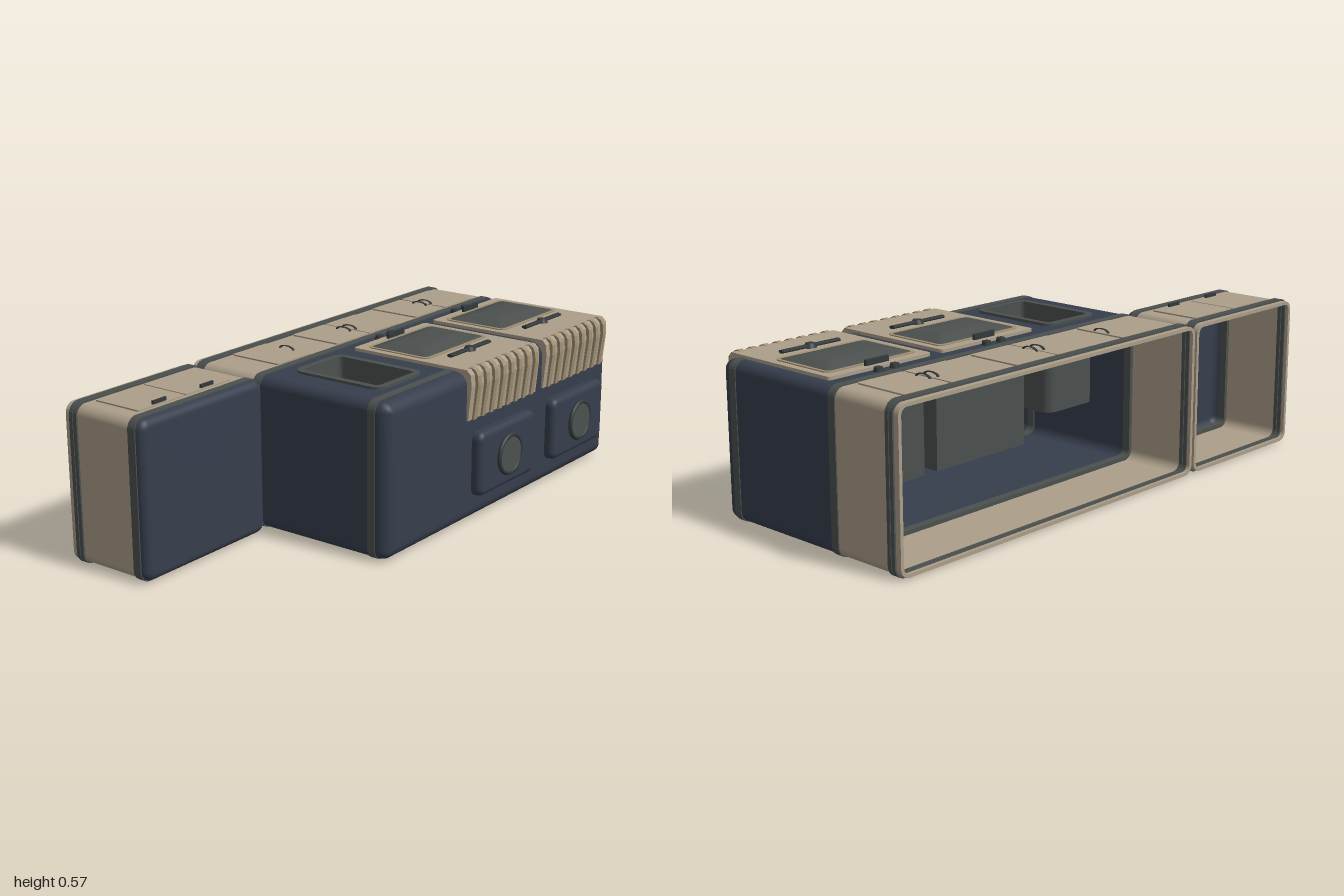
import * as THREE from 'three';

const mat = (name, color, side = THREE.FrontSide) => {
  const m = new THREE.MeshStandardMaterial({ color, side });
  m.name = name;
  return m;
};
const navy = mat('navy', 0x363d4c, THREE.DoubleSide);
const beige = mat('beige', 0xac9e89, THREE.DoubleSide);
const tan = mat('tan', 0x9f9073);
const grey = mat('trim grey', 0x4b504f);
const dark = mat('dark metal', 0x33393b);

const Y0 = 0.012, Y1 = 0.545, R = 0.035;

// Rounded rectangle, counter-clockwise, with optional extra points on the top edge
function section(x0, x1, y0, y1, r, extras = []) {
  const pts = [], n = 6;
  const corner = (cx, cy, a) => {
    for (let i = 0; i <= n; i++) {
      const t = a + (i / n) * Math.PI / 2;
      pts.push(new THREE.Vector2(cx + r * Math.cos(t), cy + r * Math.sin(t)));
    }
  };
  corner(x1 - r, y0 + r, -Math.PI / 2);
  corner(x1 - r, y1 - r, 0);
  extras.forEach(x => pts.push(new THREE.Vector2(x, y1)));
  corner(x0 + r, y1 - r, Math.PI / 2);
  corner(x0 + r, y0 + r, Math.PI);
  return pts;
}

// Skin through rings [z, inset]; hole = {x0, x1, z0, z1} is left open in the top
function loft([x0, x1, y0, y1], r, rings, cap = true, hole = null) {
  const pos = [], idx = [];
  const extras = hole ? [hole.x1, hole.x0] : [];
  let n = 0;
  rings.forEach(([z, d]) => {
    const pts = section(x0 + d, x1 - d, y0 + d, y1 - d, Math.max(r - d, 0.008), extras);
    n = pts.length;
    pts.forEach(p => pos.push(p.x, p.y, z));
  });
  for (let k = 0; k < rings.length - 1; k++) {
    for (let i = 0; i < n; i++) {
      if (hole && i === 14 && rings[k][0] === hole.z0) continue;
      const j = (i + 1) % n, a = k * n + i, b = k * n + j;
      idx.push(a, b, b + n, a, b + n, a + n);
    }
  }
  if (cap) {
    const c = pos.length / 3, s = (rings.length - 1) * n;
    pos.push((x0 + x1) / 2, (y0 + y1) / 2, rings[rings.length - 1][0]);
    for (let i = 0; i < n; i++) idx.push(c, s + i, s + (i + 1) % n);
  }
  const g = new THREE.BufferGeometry();
  g.setAttribute('position', new THREE.Float32BufferAttribute(pos, 3));
  g.setIndex(idx);
  g.computeVertexNormals();
  return g;
}

// Quarter-round ending at z
const roundEnd = (z, r) => Array.from({ length: 7 }, (_, i) => {
  const t = (i / 6) * Math.PI / 2;
  return [z - r + r * Math.sin(t), r * (1 - Math.cos(t))];
});

// Flat rounded plate or frame, extruded along z
function plate([x0, x1, y0, y1], r, depth, border = 0) {
  const s = new THREE.Shape(section(x0, x1, y0, y1, r));
  if (border) {
    s.holes.push(new THREE.Path(section(x0 + border, x1 - border, y0 + border, y1 - border,
      Math.max(r - border, 0.015))));
  }
  return new THREE.ExtrudeGeometry(s, { depth, bevelEnabled: false });
}

// Side profile in (z, y), extruded from x0 to x1
function profile(points, x0, x1) {
  const s = new THREE.Shape(points.map(p => new THREE.Vector2(...p)));
  return new THREE.ExtrudeGeometry(s, { depth: x1 - x0, bevelEnabled: false })
    .rotateY(-Math.PI / 2).translate(x1, 0, 0);
}

export function createModel() {
  const root = new THREE.Group();
  root.name = 'kitchenUnit';
  const add = (name, geo, m, x = 0, y = 0, z = 0) => {
    const mesh = new THREE.Mesh(geo, m);
    mesh.name = name;
    mesh.position.set(x, y, z);
    root.add(mesh);
    return mesh;
  };
  const box = (name, w, h, d, m, x, y, z) => add(name, new THREE.BoxGeometry(w, h, d), m, x, y, z);
  // Lays an xy plate flat, so that [x0, x1, z0, z1] is its outline seen from above
  const flat = ([x0, x1, z0, z1]) => [x0, x1, -z1, -z0];
  const lay = (name, geo, m, y) => add(name, geo.rotateX(-Math.PI / 2), m, 0, y, 0);
  const band = (name, x0, x1, z0, z1, out, border) =>
    add(name, plate([x0 - out, x1 + out, Y0 - out, Y1 + out], R + out, z1 - z0, border), grey, 0, 0, z0);

  // Two open-backed cabinets: beige rear band, navy front, grey trim rings
  const niche = { x0: -0.285, x1: -0.065, z0: -0.07, z1: 0.26 };
  const cabinets = [
    ['main', -0.408, 0.988, [[-0.16, 0], [niche.z0, 0], [niche.z1, 0], ...roundEnd(0.387, 0.045)], niche],
    ['side', -0.988, -0.42, [[-0.16, 0], ...roundEnd(-0.108, 0.028)], null],
  ];
  cabinets.forEach(([id, x0, x1, rings, hole]) => {
    const rect = [x0, x1, Y0, Y1];
    add(id + 'Front', loft(rect, R, rings, true, hole), navy);
    add(id + 'RearBand', loft(rect, R, [[-0.437, 0], [-0.15, 0]], false), beige);
    add(id + 'RearLip', plate(rect, R, 0.012, 0.012), beige, 0, 0, -0.437);
    band(id + 'MiddleTrim', x0, x1, -0.165, -0.135, 0.004, 0.018);
    band(id + 'RearTrimA', x0, x1, -0.4, -0.386, 0.006, 0.012);
    band(id + 'RearTrimB', x0, x1, -0.417, -0.403, 0.006, 0.012);
  });
  band('frontTrim', -0.408, 0.988, 0.308, 0.338, 0.003, 0.01);

  // Cupboard doors on the rear bands
  const door = (x0, x1, z0, z1) =>
    lay('cupboardDoor', plate(flat([x0, x1, z0, z1]), 0.008, 0.006), beige, Y1 - 0.001);
  const arc = x => {
    const g = new THREE.TorusGeometry(0.03, 0.005, 6, 14, Math.PI);
    g.scale(1, 0.4, 1).rotateY(Math.PI / 2);
    add('doorHandle', g, dark, x, 0.549, -0.275);
  };
  [[-0.265, -0.085], [0.06, 0.241], [0.247, 0.43], [0.535, 0.716], [0.724, 0.91]]
    .forEach(([a, b]) => door(a, b, -0.38, -0.175));
  [-0.1, 0.222, 0.256, 0.698, 0.732].forEach(arc);
  [[-0.92, -0.712], [-0.706, -0.49]].forEach(([a, b]) => door(a, b, -0.375, -0.185));
  [-0.82, -0.6].forEach(x => box('sideDoorHandle', 0.06, 0.014, 0.007, dark, x, 0.555, -0.195));

  // Shelf niche
  const frame = flat([-0.3, -0.05, -0.085, 0.275]);
  const well = flat([-0.295, -0.055, -0.08, 0.27]);
  lay('nicheFrame', plate(frame, 0.04, 0.018, 0.024), grey, 0.536);
  lay('nicheWalls', plate(well, 0.035, 0.3, 0.018), grey, 0.24);
  lay('nicheFloor', plate(well, 0.035, 0.01), grey, 0.235);
  [0.015, 0.14].forEach(z => box('nicheShelf', 0.205, 0.22, 0.007, tan, -0.175, 0.36, z));

  // Two ovens
  [0.25, 0.727].forEach(cx => {
    const w = 0.214;
    lay('ovenDoor', plate(flat([cx - w, cx + w, -0.086, 0.36]), 0.012, 0.013), beige, 0.543);
    lay('ovenWindowFrame', plate(flat([cx - 0.188, cx + 0.188, -0.05, 0.208]), 0.026, 0.004, 0.012), tan, 0.5555);
    lay('ovenWindow', loft(flat([cx - 0.18, cx + 0.18, -0.042, 0.2]), 0.025,
      [[0.55, 0], [0.558, 0.002], [0.562, 0.02], [0.569, 0.045], [0.575, 0.066]]), grey, 0);
    box('ovenCavity', 0.42, 0.4, 0.28, grey, cx, 0.34, 0.09);

    // Curved hood with ribs over the front edge
    add('ovenHood', profile([[0.34, 0.545], [0.383, 0.52], [0.383, 0.38], [0.393, 0.38], [0.405, 0.5],
      [0.401, 0.54], [0.386, 0.556], [0.34, 0.556]], cx - w, cx + w), beige);
    for (let i = 0; i < 8; i++) {
      const x = cx - 0.18 + i * 0.36 / 7;
      add('hoodRib', profile([[0.36, 0.55], [0.39, 0.38], [0.4, 0.38], [0.416, 0.5], [0.414, 0.535],
        [0.404, 0.553], [0.388, 0.56], [0.372, 0.556]], x - 0.01, x + 0.01), tan);
    }

    // Handle bar, latch and control knobs
    const bar = new THREE.CylinderGeometry(0.01, 0.01, 0.24, 10).rotateZ(Math.PI / 2).scale(1, 0.6, 1.2);
    add('ovenHandle', bar, dark, cx, 0.562, 0.253);
    add('ovenHandleKnob', new THREE.CylinderGeometry(0.015, 0.023, 0.016, 20), dark, cx, 0.563, 0.253);
    box('ovenLatch', 0.095, 0.02, 0.01, dark, cx, 0.565, -0.062);
    [-0.034, 0.034].forEach(dx =>
      add('controlKnob', new THREE.CylinderGeometry(0.014, 0.017, 0.018, 18), dark, cx + dx, 0.55, -0.108));

    // Raised panel with a round port on the front
    add('frontPanel', loft([cx - 0.178, cx + 0.178, 0.1, 0.33], 0.03,
      [[0.38, 0], ...roundEnd(0.424, 0.022)]), navy);
    add('portDisc', new THREE.CylinderGeometry(0.068, 0.068, 0.02, 32).rotateX(Math.PI / 2), grey, cx, 0.215, 0.424);
    add('portRing', new THREE.TorusGeometry(0.068, 0.008, 8, 32), dark, cx, 0.215, 0.429);
  });
  return root;
}
